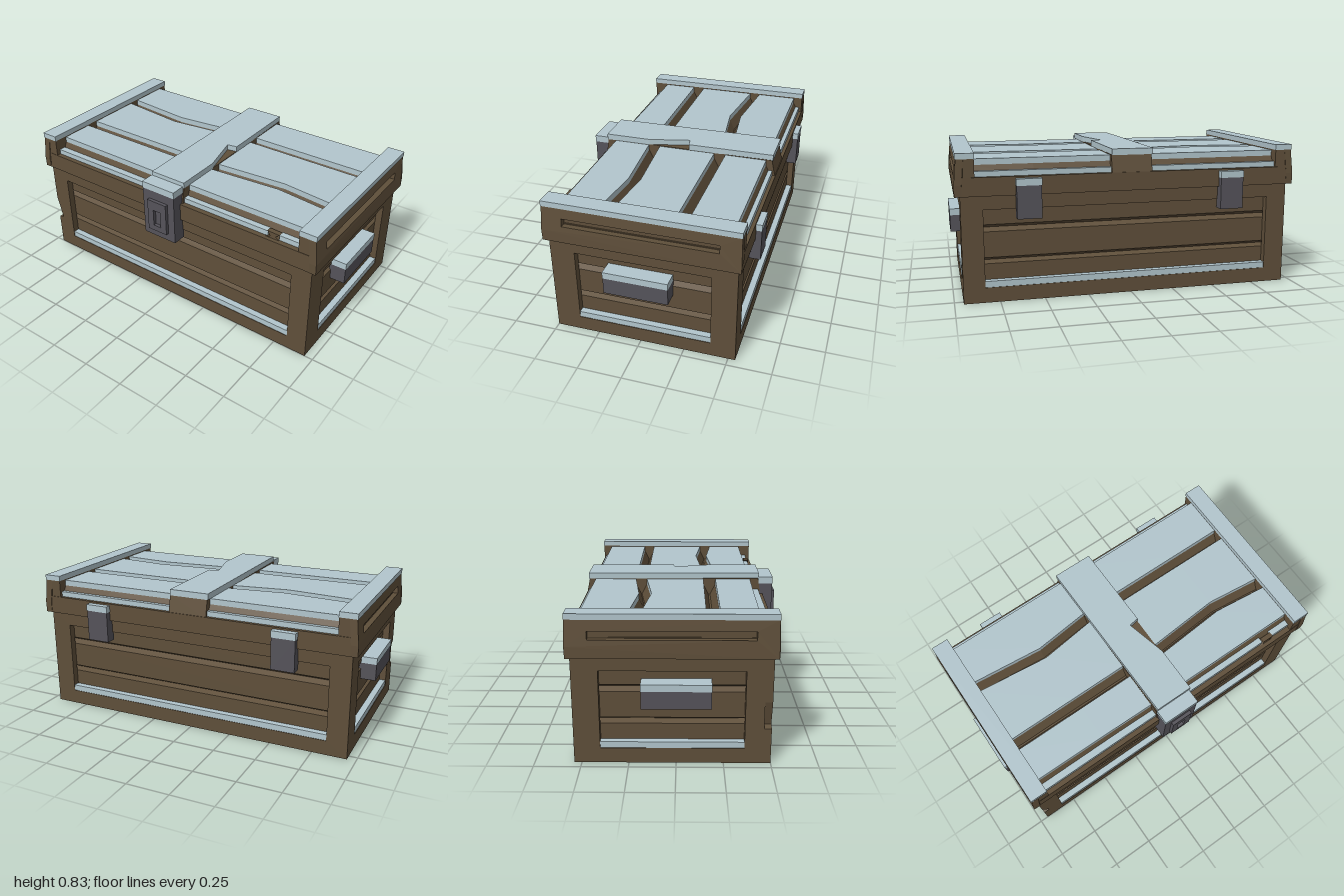
import * as THREE from 'three';

const mat = (name, color) => Object.assign(new THREE.MeshStandardMaterial({ color }), { name });

export function createModel() {
  const root = new THREE.Group();
  root.name = 'snowyChest';
  const wood = mat('brown wood', 0x5f4f3a);
  const snow = mat('pale snow', 0xb2c6cd);
  const metal = mat('dark metal', 0x55535a);

  const add = (parent, name, geo, material) => {
    const m = new THREE.Mesh(geo, material);
    m.name = name;
    parent.add(m);
    return m;
  };
  // Box given by its limits on each axis
  const box = (parent, name, material, [x0, x1], [y0, y1], [z0, z1]) =>
    add(parent, name, new THREE.BoxGeometry(x1 - x0, y1 - y0, z1 - z0)
      .translate((x0 + x1) / 2, (y0 + y1) / 2, (z0 + z1) / 2), material);
  const polygon = (pts) => new THREE.Shape(pts.map(([a, b]) => new THREE.Vector2(a, b)));
  const rectPath = (x0, x1, y0, y1) => new THREE.Path(
    [[x0, y0], [x0, y1], [x1, y1], [x1, y0]].map(([a, b]) => new THREE.Vector2(a, b)));
  const extrude = (shape, depth) => new THREE.ExtrudeGeometry(shape, { depth, bevelEnabled: false });

  // Joins [z, y] rings placed at stations along x, with closed ends
  const loft = (xs, rings) => {
    const pos = [];
    const n = rings[0].length;
    const put = (s, i) => pos.push(xs[s], rings[s][i][1], rings[s][i][0]);
    for (let s = 0; s < xs.length - 1; s++) {
      for (let i = 0; i < n; i++) {
        const j = (i + 1) % n;
        put(s, i); put(s, j); put(s + 1, j);
        put(s, i); put(s + 1, j); put(s + 1, i);
      }
    }
    const last = xs.length - 1;
    for (let i = 1; i < n - 1; i++) {
      put(0, 0); put(0, i + 1); put(0, i);
      put(last, 0); put(last, i); put(last, i + 1);
    }
    const g = new THREE.BufferGeometry();
    g.setAttribute('position', new THREE.Float32BufferAttribute(pos, 3));
    g.computeVertexNormals();
    return g;
  };

  // ---- Body: a core with four framed, grooved walls ----
  const body = new THREE.Group();
  body.name = 'body';
  root.add(body);
  box(body, 'core', wood, [-0.86, 0.86], [0.002, 0.6], [-0.45, 0.41]);
  box(body, 'floor', wood, [-0.92, 0.92], [0, 0.06], [-0.51, 0.47]);

  const wall = (name, half, open, x, z, turn, chipped) => {
    const g = new THREE.Group();
    g.name = name;
    g.position.set(x, 0, z);
    g.rotation.y = turn;
    body.add(g);
    const outline = [[-half, 0], [half, 0], [half, 0.6], [-half, 0.6]];
    if (chipped) outline.push([-half, 0.35], [-half + 0.035, 0.21], [-half, 0.2]);
    const frame = polygon(outline);
    frame.holes.push(rectPath(-open, open, 0.085, 0.52));
    add(g, 'frame', extrude(frame, 0.04), wood);
    // planks separated by slanted grooves
    const ring = [[-0.06, 0.05], [-0.06, 0.56], [0, 0.56], [0, 0.43], [-0.035, 0.41], [0, 0.39],
      [0, 0.245], [-0.035, 0.225], [0, 0.21], [0, 0.05]];
    const reach = open + 0.04;
    add(g, 'planks', loft([-reach, reach], [ring, ring]), wood);
    box(g, 'sillSnow', snow, [-open, open], [0.084, 0.12], [-0.01, 0.037]);
  };
  wall('frontWall', 0.95, 0.83, 0, 0.46, 0, true);
  wall('backWall', 0.95, 0.83, 0, -0.5, Math.PI, false);
  wall('leftWall', 0.48, 0.38, 0.91, -0.02, Math.PI / 2, false);
  wall('rightWall', 0.48, 0.38, -0.91, -0.02, -Math.PI / 2, false);

  // ---- Lid ----
  const lid = new THREE.Group();
  lid.name = 'lid';
  root.add(lid);
  box(lid, 'lidRim', wood, [-0.945, 0.945], [0.597, 0.7], [-0.56, 0.518]);

  for (const side of [-1, 1]) {
    // End caps lean inward above the rim and carry a long slot
    const end = new THREE.Group();
    end.name = side > 0 ? 'leftLidEnd' : 'rightLidEnd';
    end.rotation.y = side * Math.PI / 2;
    lid.add(end);
    const c = 0.02 * side; // centre of the lid across its depth
    const face = polygon([[-0.54 + c, 0.597], [0.54 + c, 0.597], [0.542 + c, 0.66], [0.536 + c, 0.8],
      [-0.536 + c, 0.8], [-0.542 + c, 0.66]]);
    face.holes.push(rectPath(-0.425 + c, 0.425 + c, 0.695, 0.74));
    const geo = extrude(face, 0.04).translate(0, 0, 0.94);
    const p = geo.attributes.position;
    for (let i = 0; i < p.count; i++) {
      p.setZ(i, p.getZ(i) - Math.max(0, p.getY(i) - 0.66) * 0.1);
    }
    geo.computeVertexNormals();
    add(end, 'slottedFace', geo, wood);
    box(end, 'innerBeam', wood, [-0.536 + c, 0.536 + c], [0.66, 0.8], [0.87, 0.94]);
    box(end, 'endSnow', snow, [-0.538 + c, 0.538 + c], [0.799, 0.83], [0.868, 0.97]);
  }

  // Top planks: each row lists z at the near end, the bend and the far end
  const halves = [
    { xs: [-0.88, -0.45, -0.1], rows: [
      [[-0.5, -0.5, -0.5], [-0.255, -0.215, -0.255]],
      [[-0.19, -0.145, -0.19], [0.155, 0.155, 0.155]],
      [[0.228, 0.228, 0.228], [0.43, 0.433, 0.438]]] },
    { xs: [0.1, 0.55, 0.88], rows: [
      [[-0.5, -0.5, -0.5], [-0.255, -0.255, -0.255]],
      [[-0.187, -0.187, -0.187], [0.155, 0.12, 0.155]],
      [[0.225, 0.19, 0.225], [0.438, 0.438, 0.438]]] },
  ];
  for (const { xs, rows } of halves) {
    for (const [back, front] of rows) {
      const rings = (y0, y1, flare) => xs.map((_, i) => [
        [back[i] - flare, y0], [back[i], y1], [front[i], y1], [front[i] + flare, y0]]);
      add(lid, 'lidPlank', loft(xs, rings(0.69, 0.76, 0.036)), wood);
      add(lid, 'plankSnow', loft(xs, rings(0.758, 0.793, 0)), snow);
    }
  }

  // Snow lying on the rim, broken by a splinter at the front
  for (const [x0, x1, z0, z1] of [[-0.87, -0.1, 0.45, 0.49], [0.1, 0.67, 0.45, 0.488], [0.74, 0.87, 0.45, 0.488],
    [-0.87, -0.1, -0.54, -0.5], [0.1, 0.87, -0.54, -0.5]]) {
    box(lid, 'rimSnow', snow, [x0, x1], [0.69, 0.73], [z0, z1]);
  }
  add(lid, 'splinter', extrude(polygon([[0.62, 0.69], [0.76, 0.69], [0.72, 0.715], [0.745, 0.735],
    [0.67, 0.738], [0.69, 0.71]]), 0.03).translate(0, 0, 0.465), wood);

  // Centre strap, with a bite out of its snow
  const slab = (pts, y, h) =>
    extrude(polygon(pts.map(([x, z]) => [x, -z]).reverse()), h).rotateX(-Math.PI / 2).translate(0, y, 0);
  add(lid, 'strap', loft([-0.115, 0.118], [0, 1].map(() =>
    [[-0.558, 0.69], [-0.535, 0.797], [0.488, 0.797], [0.505, 0.69]])), wood);
  add(lid, 'strapSnow', slab([[-0.122, -0.54], [0.115, -0.54], [0.12, -0.03], [0.06, -0.02], [0.12, 0.22],
    [0.12, 0.492], [-0.108, 0.492]], 0.795, 0.035), snow);

  // ---- Metal fittings ----
  const lock = new THREE.Group();
  lock.name = 'lock';
  root.add(lock);
  box(lock, 'lockBlock', metal, [-0.11, 0.11], [0.465, 0.768], [0.49, 0.575]);
  const plate = polygon([[-0.065, 0.515], [0.065, 0.515], [0.065, 0.71], [-0.065, 0.71]]);
  plate.holes.push(rectPath(-0.025, 0.025, 0.55, 0.65));
  add(lock, 'keyholePlate', extrude(plate, 0.022).translate(0, 0, 0.573), metal);
  box(lock, 'lockSnow', snow, [-0.112, 0.112], [0.765, 0.805], [0.49, 0.577]);

  for (const side of [-1, 1]) {
    const x = side * 0.585;
    box(root, 'hinge', metal, [x - 0.068, x + 0.068], [0.47, 0.655], [-0.593, -0.53]);
    box(root, 'hingeSnow', snow, [x - 0.07, x + 0.07], [0.652, 0.69], [-0.595, -0.55]);
    const span = (a, b) => (side > 0 ? [a, b] : [-b, -a]);
    box(root, 'handle', metal, span(0.9, 0.998), [0.33, 0.43], [-0.18, 0.183]);
    box(root, 'handleSnow', snow, span(0.9, 1), [0.427, 0.465], [-0.181, 0.184]);
  }
  return root;
}
